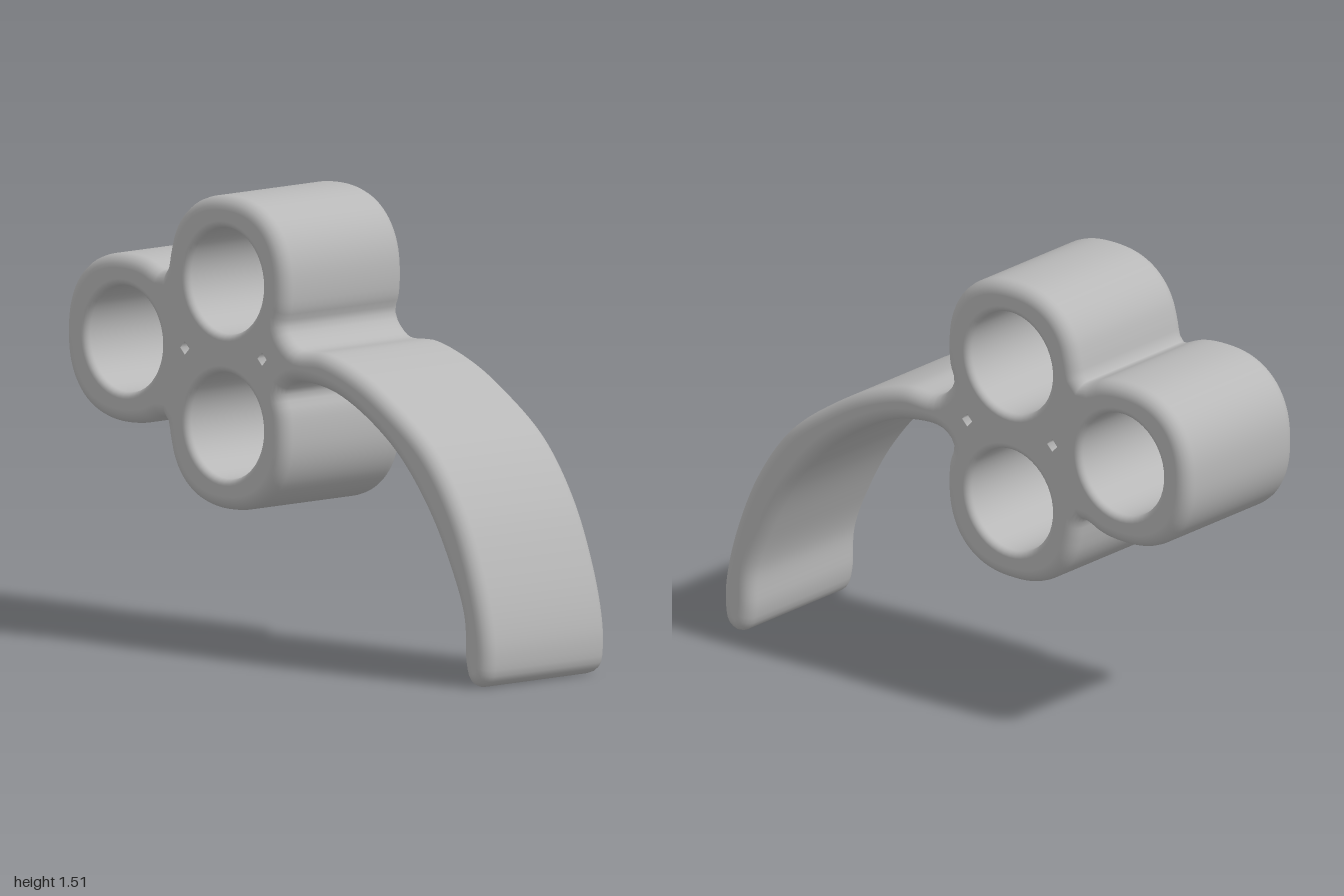
import * as THREE from 'three';

const HALF = 0.28; // half the depth along z

// Slightly squared arc, angles in degrees, counterclockwise
function squareArc(cx, cy, r, from, to, n) {
  const pts = [];
  const pow = (v) => Math.sign(v) * Math.abs(v) ** 0.87;
  for (let i = 0; i <= n; i++) {
    const a = THREE.MathUtils.degToRad(from + ((to - from) * i) / n);
    pts.push([cx + r * pow(Math.cos(a)), cy + r * pow(Math.sin(a))]);
  }
  return pts;
}

// Clockwise hole loop
function holeLoop(cx, cy, r, n) {
  return Array.from({ length: n }, (_, i) => {
    const a = (-i / n) * Math.PI * 2;
    return new THREE.Vector2(cx + r * Math.cos(a), cy + r * Math.sin(a));
  });
}

// Outward normals of a loop that keeps the solid on its left
function loopNormals(loop) {
  return loop.map((_, i) => {
    const a = loop[(i + loop.length - 1) % loop.length];
    const b = loop[(i + 1) % loop.length];
    return new THREE.Vector2(b.y - a.y, a.x - b.x).normalize();
  });
}

// Slab with its own edge rounding for every loop; the first loop is the outline
function roundedSlab(loops, radii) {
  const pos = [], nor = [], index = [];
  const steps = 5;
  const inset = loops.map((loop, l) => {
    const normals = loopNormals(loop);
    const r = radii[l];
    const ring = (k) => loop.map((p, i) => p.clone().addScaledVector(normals[i], -k));
    const base = pos.length / 3, n = loop.length;
    // Rounded walls, back to front
    for (let row = 0; row < steps * 2 + 2; row++) {
      const front = row > steps;
      const a = ((front ? 2 * steps + 1 - row : row) / steps) * Math.PI / 2;
      const sign = front ? 1 : -1;
      const z = sign * (HALF - r * (1 - Math.cos(a)));
      ring(r * (1 - Math.sin(a))).forEach((p, i) => {
        pos.push(p.x, p.y, z);
        nor.push(normals[i].x * Math.sin(a), normals[i].y * Math.sin(a), sign * Math.cos(a));
      });
      if (row === 0) continue;
      const lo = base + (row - 1) * n, hi = lo + n;
      for (let i = 0; i < n; i++) {
        const j = (i + 1) % n;
        index.push(lo + i, lo + j, hi + j, lo + i, hi + j, hi + i);
      }
    }
    return ring(r);
  });
  // Flat front and back faces
  const faces = THREE.ShapeUtils.triangulateShape(inset[0], inset.slice(1));
  for (const sign of [1, -1]) {
    const base = pos.length / 3;
    inset.flat().forEach((p) => {
      pos.push(p.x, p.y, sign * HALF);
      nor.push(0, 0, sign);
    });
    for (const [a, b, c] of faces) {
      if (sign > 0) index.push(base + a, base + b, base + c);
      else index.push(base + c, base + b, base + a);
    }
  }
  const geo = new THREE.BufferGeometry();
  geo.setAttribute('position', new THREE.Float32BufferAttribute(pos, 3));
  geo.setAttribute('normal', new THREE.Float32BufferAttribute(nor, 3));
  geo.setIndex(index);
  return geo;
}

export function createModel() {
  const group = new THREE.Group();
  group.name = 'tripleTubeHook';
  const grey = new THREE.MeshStandardMaterial({ color: 0xb8b8b8 });
  grey.name = 'lightGrey';

  // Outline: upper, left and lower tubes, then the curved arm out and back
  const outline = [
    ...squareArc(-0.24, 1.23, 0.28, -24, 167, 16),
    [-0.535, 1.232],
    ...squareArc(-0.72, 0.99, 0.28, 59, 301, 20),
    [-0.535, 0.748],
    ...squareArc(-0.24, 0.75, 0.28, 193, 384, 16),
    [0.06, 0.92], [0.2, 0.92], [0.35, 0.87], [0.55, 0.74], [0.7, 0.57],
    [0.8, 0.4], [0.87, 0.23], [0.88, 0.08], [0.9, 0.02], [0.94, 0],
    [0.985, 0.025], [1, 0.1], [0.992, 0.2], [0.95, 0.36], [0.86, 0.57],
    [0.72, 0.76], [0.53, 0.9], [0.38, 0.98], [0.22, 1.03], [0.08, 1.035],
  ];
  const curve = new THREE.CatmullRomCurve3(
    outline.map(([x, y]) => new THREE.Vector3(x, y, 0)), true);
  curve.arcLengthDivisions = 1500;
  const contour = curve.getSpacedPoints(300).slice(0, -1)
    .map((p) => new THREE.Vector2(p.x, p.y));

  // Three tube bores and two tiny diamond holes at the joints
  const loops = [
    contour,
    holeLoop(-0.24, 1.23, 0.177, 48),
    holeLoop(-0.717, 0.99, 0.177, 48),
    holeLoop(-0.24, 0.75, 0.177, 48),
    holeLoop(-0.425, 0.99, 0.021, 4),
    holeLoop(-0.06, 0.99, 0.021, 4),
  ];
  const body = new THREE.Mesh(
    roundedSlab(loops, [0.045, 0.022, 0.022, 0.022, 0.002, 0.002]), grey);
  body.name = 'tubesAndArm';
  group.add(body);
  return group;
}
